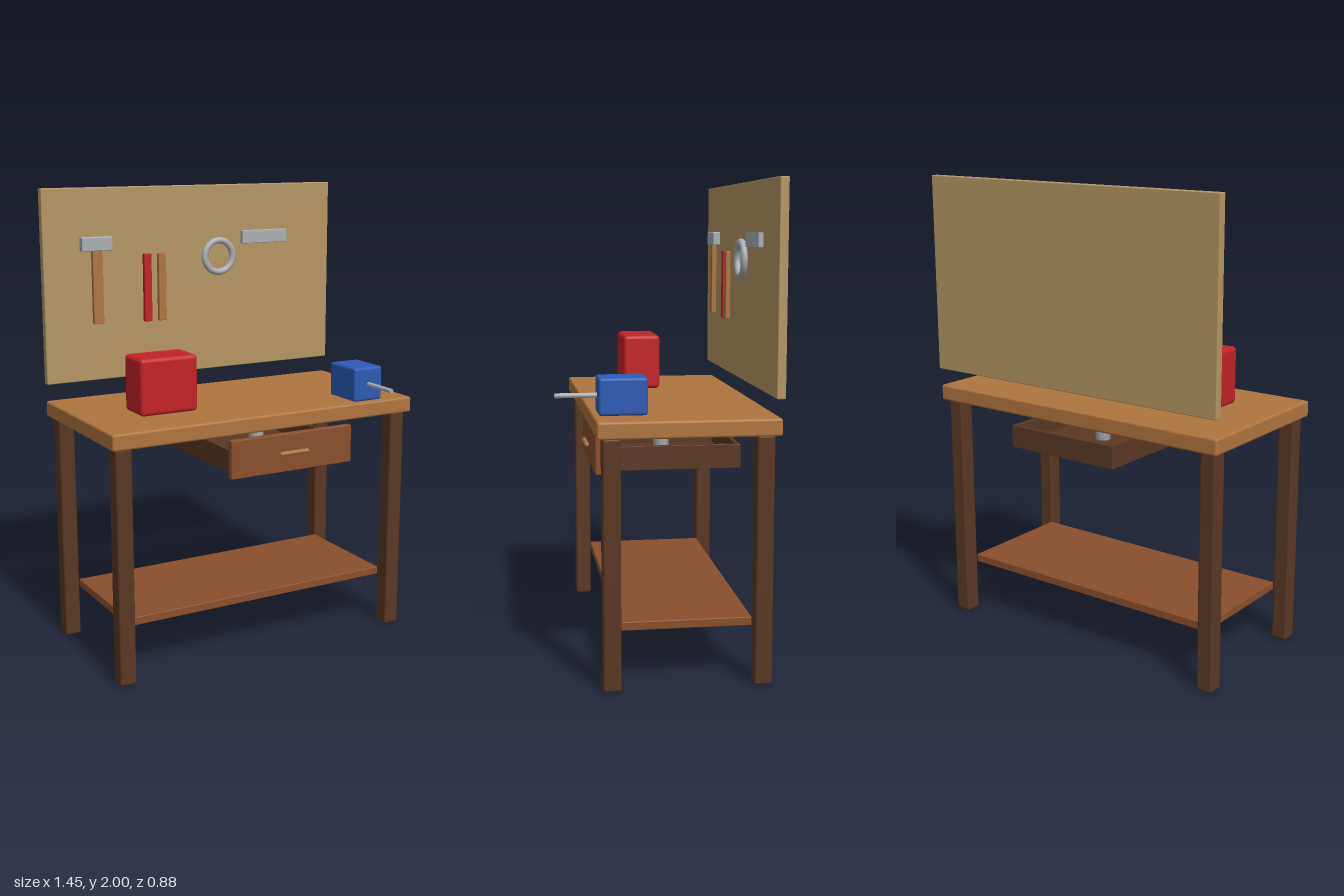
import * as THREE from 'three';
import { RoundedBoxGeometry } from 'three/addons/geometries/RoundedBoxGeometry.js';

const material = (name, color) => {
  const m = new THREE.MeshStandardMaterial({ color });
  m.name = name;
  return m;
};

export function createModel() {
  const model = new THREE.Group();
  model.name = 'workbench';

  const topWood = material('bench top wood', 0xb0753f);
  const darkWood = material('dark frame wood', 0x5a3723);
  const midWood = material('drawer and shelf wood', 0x8a4f2c);
  const boardTan = material('tool board tan', 0xb59664);
  const metal = material('metal grey', 0xabafb3);
  const red = material('red paint', 0xc32227);
  const blue = material('blue paint', 0x2d5bb5);

  const add = (name, geometry, mat, parent = model) => {
    const mesh = new THREE.Mesh(geometry, mat);
    mesh.name = name;
    parent.add(mesh);
    return mesh;
  };

  // Softly rounded box given by its extents on each axis
  const block = (name, mat, [x0, x1], [y0, y1], [z0, z1], r = 0.004, parent = model) => {
    const geometry = new RoundedBoxGeometry(x1 - x0, y1 - y0, z1 - z0, 2, r);
    const mesh = add(name, geometry, mat, parent);
    mesh.position.set((x0 + x1) / 2, (y0 + y1) / 2, (z0 + z1) / 2);
    return mesh;
  };

  const group = (name) => {
    const g = new THREE.Group();
    g.name = name;
    model.add(g);
    return g;
  };

  // Bench top, legs and lower shelf
  block('benchTop', topWood, [-0.727, 0.727], [1.01, 1.08], [-0.432, 0.292], 0.01);
  for (const side of [-1, 1]) {
    for (const [end, z] of [['front', 0.234], ['back', -0.372]]) {
      const x = side * 0.67;
      block(end + (side > 0 ? 'Left' : 'Right') + 'Leg', darkWood,
        [x - 0.036, x + 0.036], [0, 1.012], [z - 0.036, z + 0.036], 0.01);
    }
  }
  block('lowerShelf', midWood, [-0.636, 0.636], [0.226, 0.262], [-0.337, 0.199]);

  // Tool board
  block('toolBoard', boardTan, [-0.727, 0.727], [1.155, 2], [-0.44, -0.404], 0.004);

  // Drawer: open tray with a front panel and a pull
  const drawer = group('drawer');
  const bx = [-0.157, 0.397], by = [0.825, 0.925], bz = [-0.336, 0.242];
  block('drawerFloor', darkWood, bx, [0.825, 0.843], bz, 0.002, drawer);
  block('drawerRightSide', darkWood, [bx[0], bx[0] + 0.02], by, bz, 0.002, drawer);
  block('drawerLeftSide', darkWood, [bx[1] - 0.02, bx[1]], by, bz, 0.002, drawer);
  block('drawerBack', darkWood, bx, by, [bz[0], bz[0] + 0.02], 0.002, drawer);
  block('drawerFront', midWood, [-0.183, 0.42], [0.815, 0.982], [0.24, 0.27], 0.004, drawer);
  const pull = add('drawerPull', new THREE.CapsuleGeometry(0.01, 0.126, 4, 12), topWood, drawer);
  pull.rotation.z = Math.PI / 2;
  pull.position.set(0.118, 0.9, 0.284);

  // Small metal bottle standing in the drawer
  const profile = [[0, 0], [0.033, 0], [0.033, 0.145], [0.03, 0.157], [0.019, 0.161], [0.019, 0.168], [0, 0.168]];
  const bottle = add('bottle', new THREE.LatheGeometry(profile.map((p) => new THREE.Vector2(...p)), 20), metal, drawer);
  bottle.position.set(0.118, 0.843, -0.043);

  // Red box and blue vise with its rod
  block('redBox', red, [-0.5, -0.235], [1.08, 1.324], [-0.092, 0.076], 0.018);
  const vise = group('vise');
  block('viseBody', blue, [0.434, 0.579], [1.08, 1.23], [0.075, 0.27], 0.012, vise);
  const rod = add('viseRod', new THREE.CylinderGeometry(0.01, 0.01, 0.2, 12), metal, vise);
  rod.rotation.x = Math.PI / 2;
  rod.position.set(0.506, 1.155, 0.338);

  // Hanging tools
  const tools = group('hangingTools');
  block('hammerHead', metal, [-0.56, -0.417], [1.73, 1.79], [-0.404, -0.37], 0.004, tools);
  block('hammerHandle', topWood, [-0.51, -0.463], [1.41, 1.732], [-0.396, -0.374], 0.003, tools);
  block('redChisel', red, [-0.262, -0.226], [1.403, 1.706], [-0.4, -0.379], 0.003, tools);
  block('woodenChisel', topWood, [-0.191, -0.154], [1.403, 1.706], [-0.4, -0.379], 0.003, tools);
  block('steelRule', metal, [0.24, 0.481], [1.73, 1.79], [-0.4, -0.379], 0.003, tools);
  const ring = add('ringTool', new THREE.TorusGeometry(0.072, 0.015, 12, 36), metal, tools);
  ring.position.set(0.118, 1.678, -0.387);

  return model;
}
